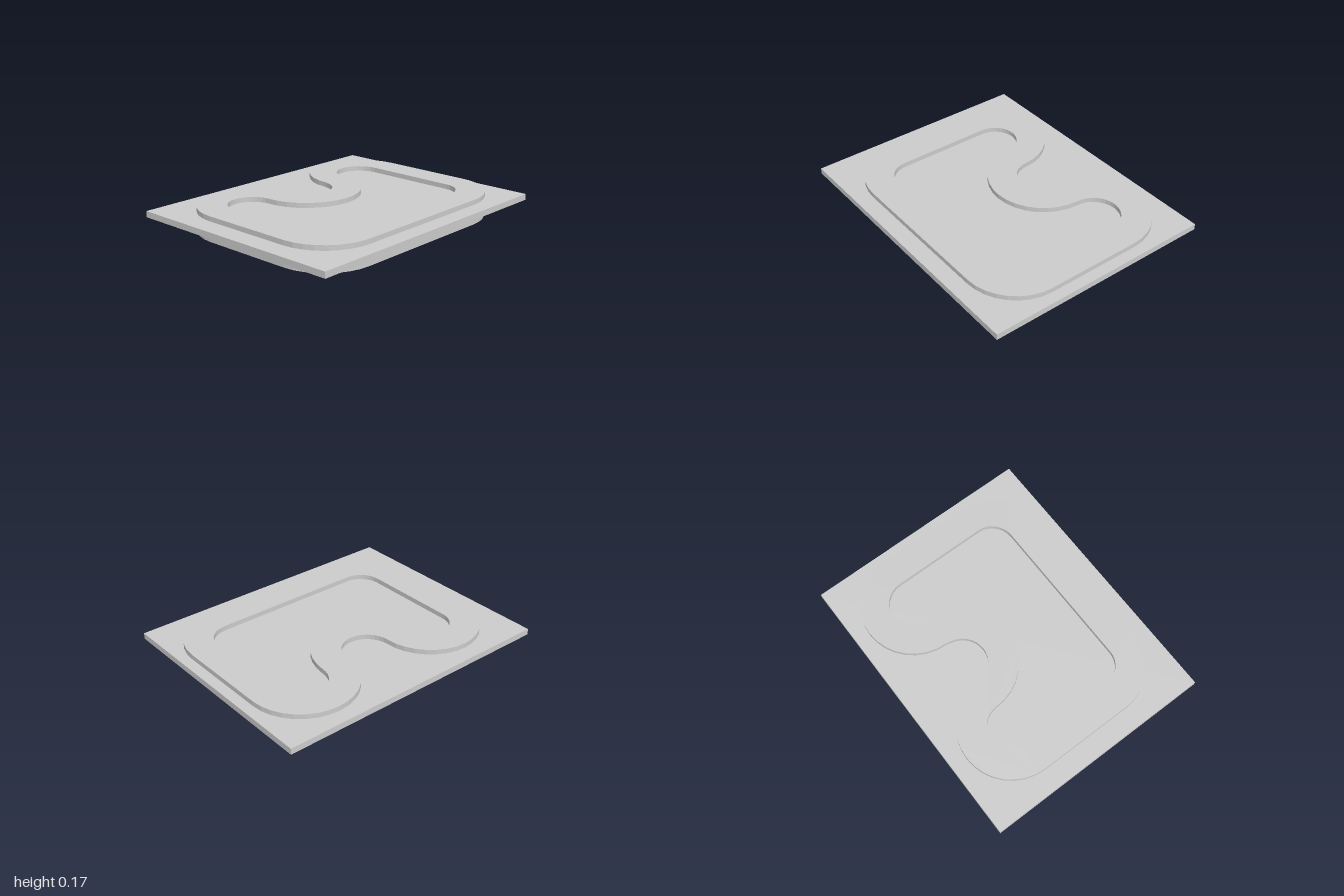
import * as THREE from 'three';

const LEFT = -0.505, DIP = 0.02, RIGHT = 0.56; // arc centres along x
const BACK = 0.335, FRONT = -0.33;             // arc centres in shape space (y = -z)
const STEP = Math.PI / 16;

// Points of an arc, from angle a to angle b in quarter turns
function arc(cx, cy, r, a, b) {
  const n = Math.round(Math.abs(b - a) * Math.PI / 2 / STEP);
  return Array.from({ length: n + 1 }, (_, i) => {
    const t = (a + (b - a) * i / n) * Math.PI / 2;
    return new THREE.Vector2(cx + r * Math.cos(t), cy + r * Math.sin(t));
  });
}

// Closed outline: two back lobes joined by a dip, with rounded front corners
function outline(rLeft, rDip, rRight) {
  return [
    ...arc(LEFT, FRONT, rLeft, 2, 3),
    ...arc(RIGHT, FRONT, rRight, 3, 4).map((p) => {
      // keep the front edge straight between slightly different radii
      p.y = FRONT + (p.y - FRONT) * rLeft / rRight;
      return p;
    }),
    ...arc(RIGHT, BACK, rRight, 0, 2),
    ...arc(DIP, BACK, rDip, 4, 2).slice(1, -1),
    ...arc(LEFT, BACK, rLeft, 0, 2),
  ];
}

export function createModel() {
  const group = new THREE.Group();
  const material = new THREE.MeshStandardMaterial({ color: 0xcccccc, flatShading: true });

  // Flat base plate
  const plate = new THREE.Mesh(new THREE.BoxGeometry(2, 0.042, 1.6), material);
  plate.name = 'plate';
  plate.position.y = 0.117;
  group.add(plate);

  // Winding closed loop passing through the plate
  const shape = new THREE.Shape(outline(0.355, 0.17, 0.365));
  shape.holes.push(new THREE.Path(outline(0.155, 0.37, 0.168)));
  const geometry = new THREE.ExtrudeGeometry(shape, { depth: 0.172, bevelEnabled: false });
  geometry.rotateX(-Math.PI / 2);
  const track = new THREE.Mesh(geometry, material);
  track.name = 'track';
  group.add(track);

  return group;
}
